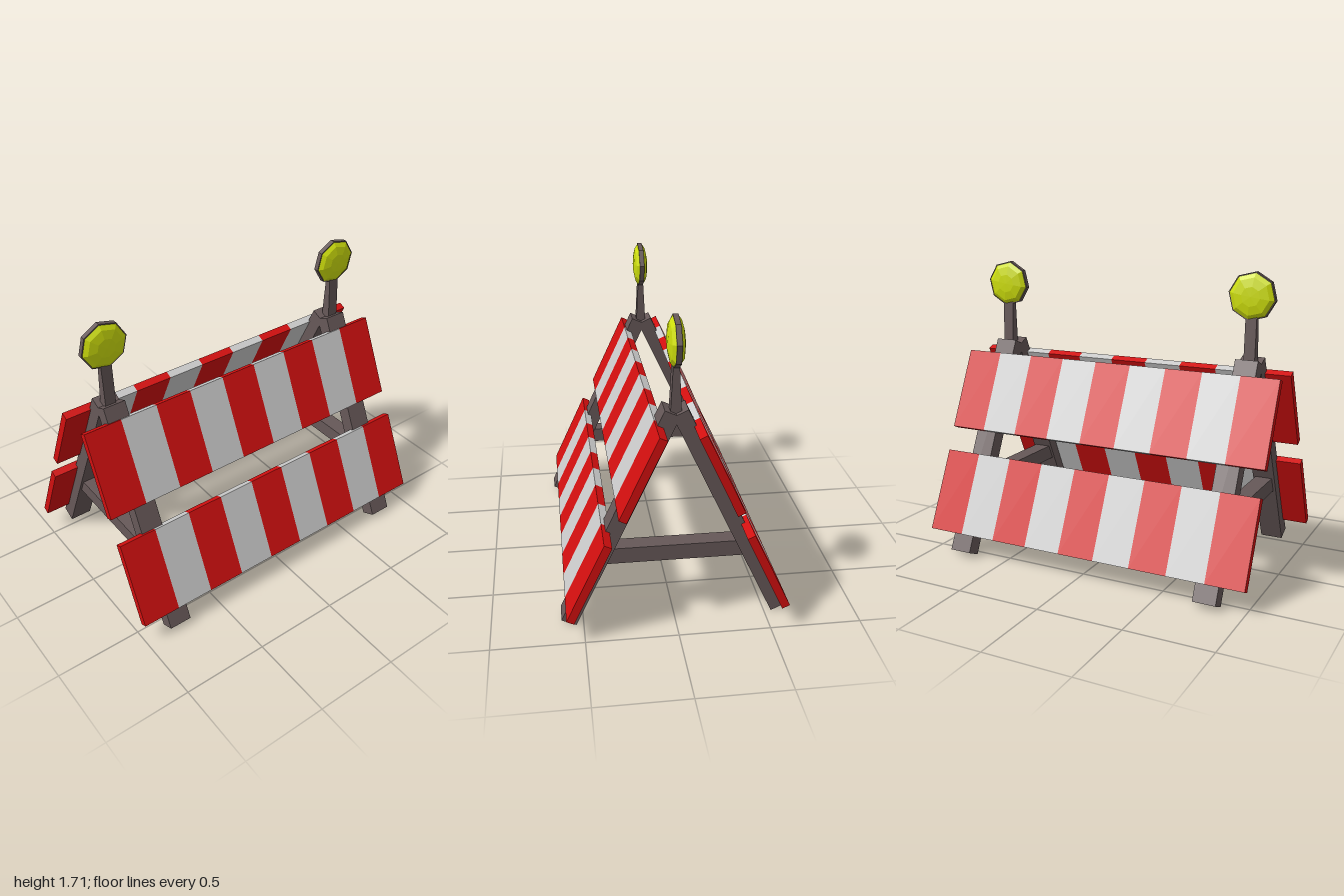
import * as THREE from 'three';

const TILT = THREE.MathUtils.degToRad(25);
const mat = (color, extra = {}) => new THREE.MeshStandardMaterial({ color, ...extra });

export function createModel() {
  const model = new THREE.Group();
  const frame = mat(0x665858, { flatShading: true });
  const red = mat(0xd20f0f);
  const white = mat(0xcccccc);
  const lensMat = mat(0xcfe00c, { flatShading: true });

  const add = (parent, name, geometry, material, x = 0, y = 0, z = 0) => {
    const mesh = new THREE.Mesh(geometry, material);
    mesh.name = name;
    mesh.position.set(x, y, z);
    parent.add(mesh);
    return mesh;
  };

  // Striped board: nine alternating blocks along z
  const board = (name, x, y, tilt) => {
    const group = new THREE.Group();
    group.name = name;
    const n = 9, w = 2 / n;
    const geo = new THREE.BoxGeometry(0.045, 0.49, w);
    for (let i = 0; i < n; i++) {
      const isRed = i % 2 === 0;
      add(group, isRed ? 'redStripe' : 'whiteStripe', geo, isRed ? red : white, 0, 0, -1 + w * (i + 0.5));
    }
    group.position.set(x, y, 0);
    group.rotation.z = tilt;
    model.add(group);
  };
  board('leftUpperBoard', 0.19, 0.938, TILT);
  board('leftLowerBoard', 0.472, 0.357, TILT);
  board('rightUpperBoard', -0.213, 0.938, -TILT);
  board('rightLowerBoard', -0.475, 0.357, -TILT);

  // Lamp post, narrowing upwards in x only
  const postGeo = new THREE.BoxGeometry(1, 0.32, 0.064);
  const p = postGeo.attributes.position;
  for (let i = 0; i < p.count; i++) p.setX(i, Math.sign(p.getX(i)) * (p.getY(i) > 0 ? 0.016 : 0.032));
  postGeo.computeVertexNormals();

  // Faceted lens bulging on both sides of an octagonal rim
  const half = [[0, 0.043], [0.055, 0.041], [0.105, 0.031], [0.131, 0.013]];
  const profile = [...half.map(([r, h]) => [r, -h]), ...half.slice().reverse()]
    .map(([r, h]) => new THREE.Vector2(r, h));
  const lensGeo = new THREE.LatheGeometry(profile, 8);
  const rimGeo = new THREE.CylinderGeometry(0.136, 0.136, 0.028, 8);

  // Two A-frames, each with legs, crossbar, post and lamp
  for (const [end, z] of [['front', 0.785], ['back', -0.776]]) {
    const group = new THREE.Group();
    group.name = end + 'Frame';
    for (const s of [1, -1]) {
      const leg = add(group, s > 0 ? 'leftLeg' : 'rightLeg',
        new THREE.BoxGeometry(0.088, 1.324, 0.132), frame, s * 0.3, 0.625, z);
      leg.rotation.z = s * TILT;
    }
    add(group, 'crossbar', new THREE.BoxGeometry(0.76, 0.09, 0.1), frame, 0, 0.415, z);
    const lampZ = z > 0 ? 0.788 : -0.785;
    add(group, 'lampPost', postGeo, frame, 0, 1.32, lampZ);

    const lamp = new THREE.Group();
    lamp.name = 'lamp';
    add(lamp, 'lens', lensGeo, lensMat);
    add(lamp, 'rim', rimGeo, frame);
    lamp.position.set(0, 1.585, lampZ);
    lamp.rotation.set(0.15, 0, Math.PI / 2);
    group.add(lamp);
    model.add(group);
  }
  return model;
}
